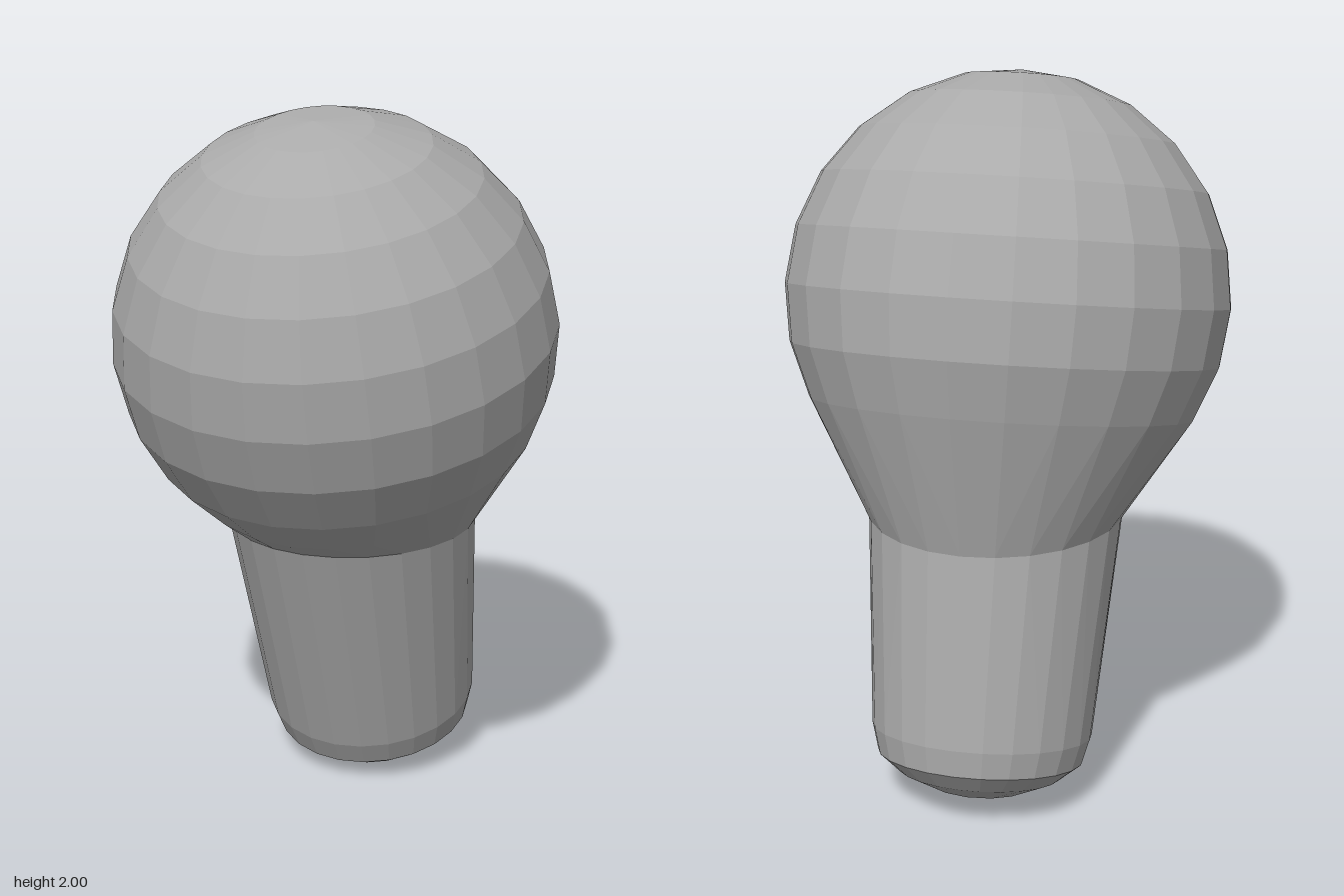
import * as THREE from 'three';
import { ConvexGeometry } from 'three/addons/geometries/ConvexGeometry.js';

const SIDES = 24;
const TILT = THREE.MathUtils.degToRad(14);
const CENTRE = new THREE.Vector3(0, 1.38, 0);
const RADIUS = 0.62;
const SEAM_Y = 0.8;

// Ring of points square to the tilted axis, at a signed distance along it
function ring(radius, along, sides = SIDES) {
  const points = [];
  for (let i = 0; i < sides; i++) {
    const a = (i / sides) * Math.PI * 2;
    points.push(new THREE.Vector3(Math.sin(a) * radius, along, Math.cos(a) * radius)
      .applyAxisAngle(new THREE.Vector3(1, 0, 0), TILT).add(CENTRE));
  }
  return points;
}

// Level ring where the neck meets the stem
function seam() {
  const points = [];
  for (let i = 0; i < SIDES; i++) {
    const a = (i / SIDES) * Math.PI * 2;
    points.push(new THREE.Vector3(Math.sin(a) * 0.355, SEAM_Y, -0.135 + Math.cos(a) * 0.375));
  }
  return points;
}

// Faceted skin around the points, left open at the hidden seam
function skin(points) {
  const source = new ConvexGeometry(points).getAttribute('position').array;
  const kept = [];
  for (let i = 0; i < source.length; i += 9) {
    const onSeam = [1, 4, 7].every((k) => Math.abs(source[i + k] - SEAM_Y) < 1e-4);
    if (!onSeam) kept.push(...source.slice(i, i + 9));
  }
  const geometry = new THREE.BufferGeometry();
  geometry.setAttribute('position', new THREE.Float32BufferAttribute(kept, 3));
  geometry.computeVertexNormals();
  return geometry;
}

export function createModel() {
  const group = new THREE.Group();
  group.name = 'knob';
  const grey = new THREE.MeshStandardMaterial({ color: 0xaaaaaa });
  grey.name = 'grey';

  // Ball drawn down to the seam as one tapering skin
  const ball = [...ring(0, RADIUS, 1)];
  for (let row = 1; row < 12; row++) {
    const a = (row / 12) * Math.PI;
    ball.push(...ring(Math.sin(a) * RADIUS, Math.cos(a) * RADIUS));
  }
  const head = new THREE.Mesh(skin([...ball.filter((p) => p.y > SEAM_Y + 0.01), ...seam()]), grey);
  head.name = 'roundHead';

  // Tapered stem with a rounded foot
  const stem = new THREE.Mesh(skin([
    ...seam(),
    ...ring(0.31, -1.22),
    ...ring(0.29, -1.295),
    ...ring(0.23, -1.345),
    ...ring(0.13, -1.39, 12),
  ]), grey);
  stem.name = 'stem';

  group.add(head, stem);
  return group;
}
